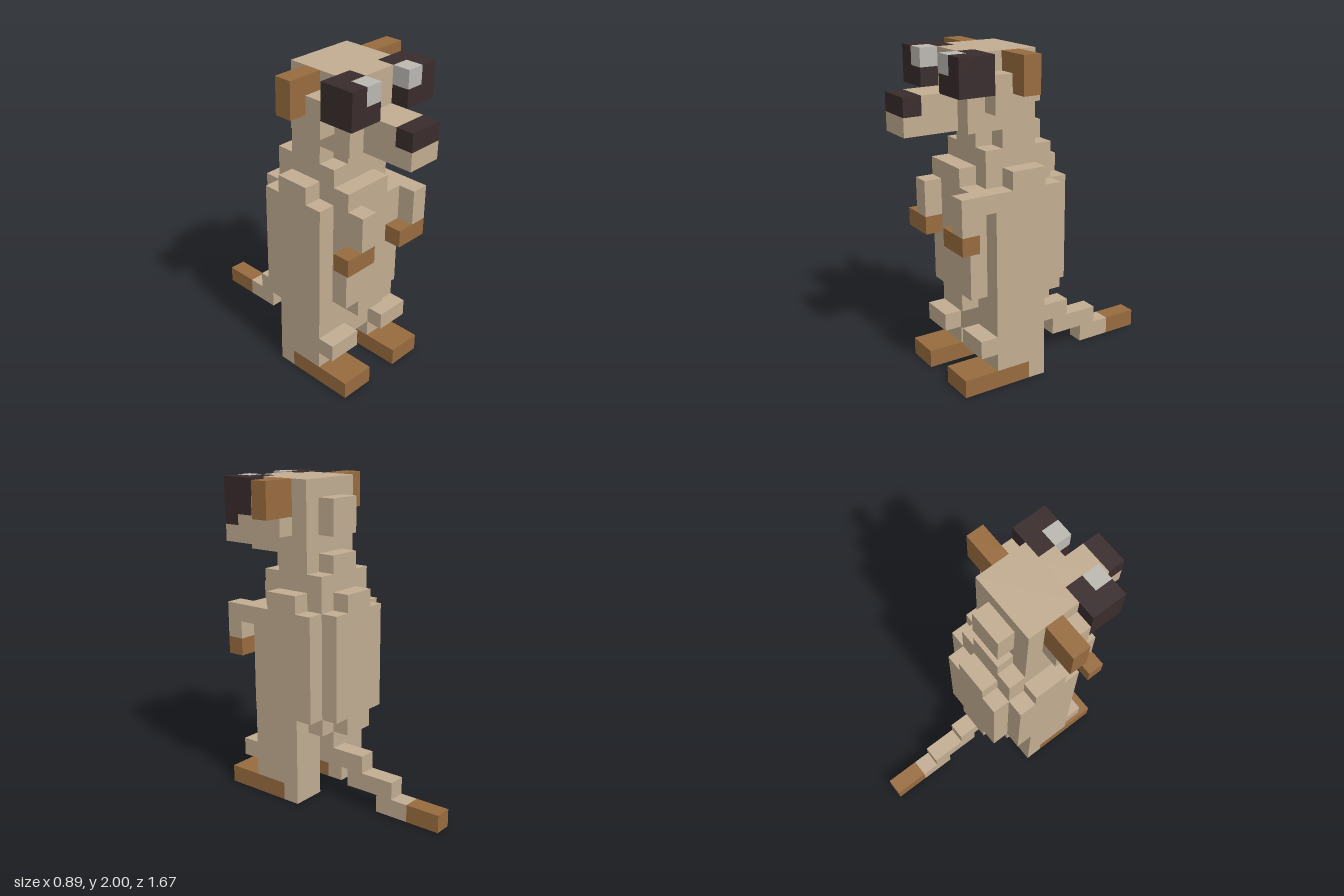
import * as THREE from 'three';

// One cell of the block grid
const U = 1 / 9;

const paint = (name, color) => {
  const m = new THREE.MeshStandardMaterial({ color });
  m.name = name;
  return m;
};

export function createModel() {
  const model = new THREE.Group();
  const tan = paint('tan fur', 0xc1ac91);
  const brown = paint('brown fur', 0x976b3e);
  const dark = paint('dark patch', 0x392b2c);
  const pale = paint('pale eye', 0xbbb7b1);

  // Block between two grid corners: x0..x1, y0..y1, z0..z1
  const block = (name, mat, [x0, x1], [y0, y1], [z0, z1]) => {
    const geo = new THREE.BoxGeometry((x1 - x0) * U, (y1 - y0) * U, (z1 - z0) * U);
    const mesh = new THREE.Mesh(geo, mat);
    mesh.position.set((x0 + x1) / 2 * U, (y0 + y1) / 2 * U, (z0 + z1) / 2 * U);
    mesh.name = name;
    model.add(mesh);
  };
  // The same block on both sides
  const pair = (name, mat, [x0, x1], y, z) => {
    block(name + 'Left', mat, [x0, x1], y, z);
    block(name + 'Right', mat, [-x1, -x0], y, z);
  };

  // Torso, shoulders and hips
  block('torso', tan, [-3, 3], [2, 11], [0.5, 3.5]);
  block('shoulders', tan, [-3, 3], [11, 12], [0.5, 2.5]);
  block('chest', tan, [-2, 2], [11, 13], [-0.5, 3.5]);
  block('belly', tan, [-2, 2], [5, 11], [3.5, 4.5]);
  block('bellyTop', tan, [-2, 1], [11, 12], [3.5, 4.5]);
  block('bellyBottom', tan, [-1, 1], [4, 5], [3.5, 4.5]);
  block('backLayer', tan, [-3, 3], [5, 11], [-0.5, 0.5]);
  block('backPanel', tan, [-2, 2], [5, 11], [-1.5, -0.5]);
  block('backPanelTop', tan, [-1, 1], [11, 12], [-1.5, -0.5]);
  block('backPanelBottom', tan, [-1, 1], [4, 5], [-1.5, -0.5]);
  block('lowerBack', tan, [-2, 2], [4, 5], [-0.5, 0.5]);
  block('rump', tan, [-1, 1], [3, 4], [-0.5, 0.5]);

  // Legs and feet
  pair('knee', tan, [1, 3], [2, 3], [3.5, 4.5]);
  pair('leg', tan, [1, 3], [1, 2], [0.5, 3.5]);
  pair('heel', tan, [1, 3], [0, 1], [0.5, 1.5]);
  pair('foot', brown, [1, 3], [0, 1], [1.5, 5.5]);

  // Arms and paws
  block('upperArmLeft', tan, [2, 3], [10, 11], [3.5, 4.5]);
  block('armLeft', tan, [2, 3], [9, 11], [4.5, 5.5]);
  block('armRight', tan, [-2, -1], [9, 11], [4.5, 5.5]);
  pair('paw', brown, [1, 3], [8, 9], [4.5, 5.5]);

  // Stepped tail
  block('tailBase', tan, [0, 1], [2, 3], [-2.5, 0.5]);
  block('tailMiddle', tan, [0, 1], [1, 2], [-4.5, -1.5]);
  block('tailEnd', tan, [0, 1], [0, 1], [-5.5, -3.5]);
  block('tailTip', brown, [0, 1], [0, 1], [-7.5, -5.5]);

  // Neck and head
  block('neck', tan, [-2, 2], [13, 14], [0.5, 2.5]);
  block('neckRidge', tan, [-1, 1], [13, 14], [-0.5, 3.5]);
  block('head', tan, [-2, 2], [14, 18], [0.5, 3.5]);
  block('headBack', tan, [-1, 1], [15, 17], [-0.5, 0.5]);
  block('brow', tan, [-1, 1], [16, 18], [3.5, 4.5]);
  pair('cheekFront', tan, [2, 3], [15, 17], [2.5, 3.5]);
  pair('cheekBack', tan, [2, 3], [15, 16], [1.5, 2.5]);
  pair('ear', brown, [2, 4], [16, 18], [1.5, 2.5]);

  // Muzzle and nose
  block('muzzleBase', tan, [-2, 2], [14, 16], [3.5, 4.5]);
  block('muzzleTop', tan, [-1, 1], [15, 16], [4.5, 6.5]);
  block('muzzleBottom', tan, [-1, 1], [14, 15], [4.5, 7.5]);
  block('nose', dark, [-1, 1], [15, 16], [6.5, 7.5]);

  // Dark eye patches with a pale inner corner
  pair('eyePatchBack', dark, [1, 3], [16, 18], [3.5, 4.5]);
  pair('eyePatchLower', dark, [1, 3], [16, 17], [4.5, 5.5]);
  pair('eyePatchOuter', dark, [2, 3], [17, 18], [4.5, 5.5]);
  pair('eye', pale, [1, 2], [17, 18], [4.5, 5.5]);

  return model;
}
